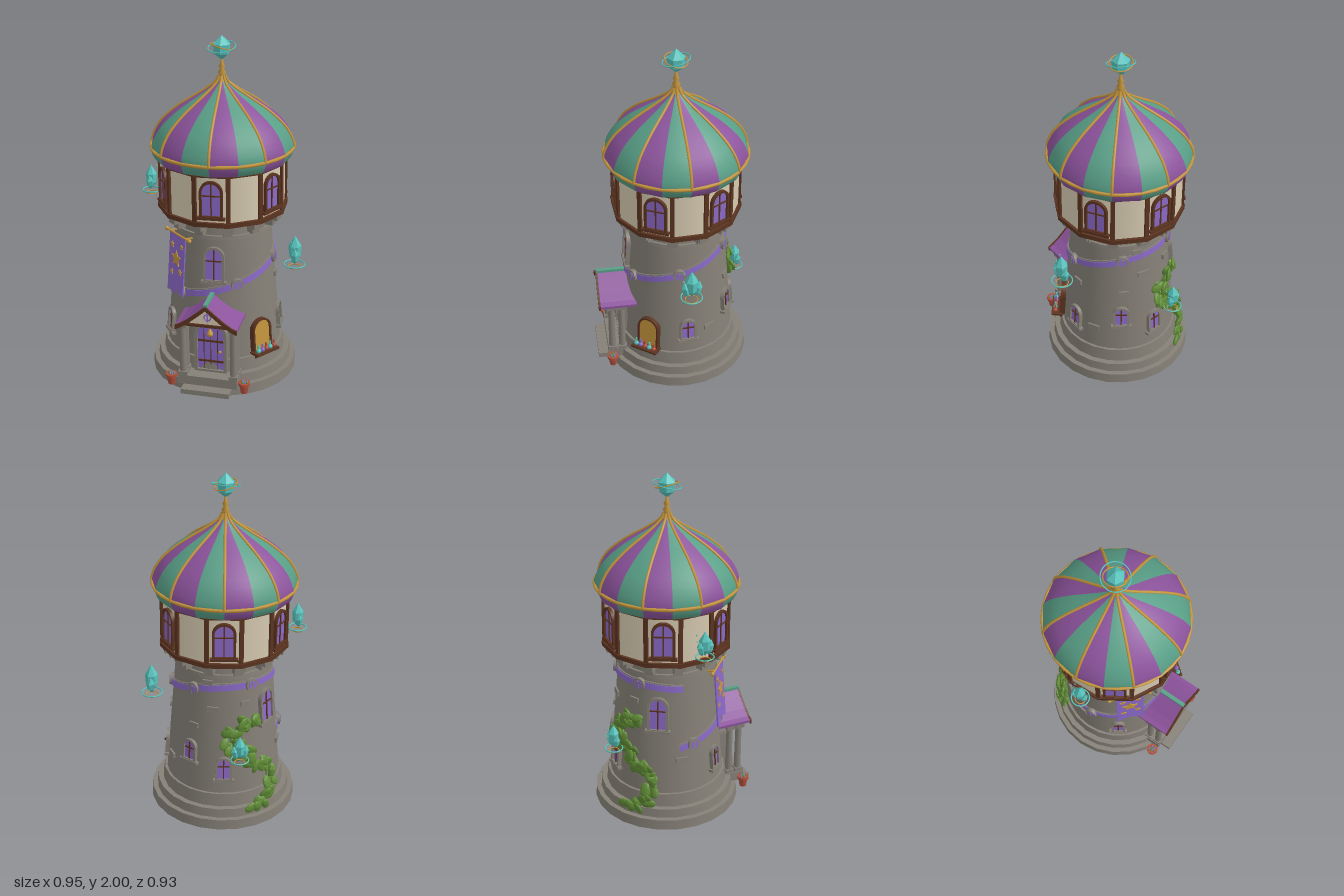
import * as THREE from 'three';
import { ParametricGeometry } from 'three/addons/geometries/ParametricGeometry.js';

const mat = (name, color) => Object.assign(new THREE.MeshStandardMaterial({ color }), { name });
const V2 = (x, y) => new THREE.Vector2(x, y);
const V3 = (x, y, z) => new THREE.Vector3(x, y, z);
const RAD = Math.PI / 180;
const wallR = y => 0.335 - 0.08 * (y - 0.19);

export function createModel() {
  const M = {
    stone: mat('stone', 0x858077), cream: mat('cream plaster', 0xd8ccb2), wood: mat('dark wood', 0x5c3420),
    gold: mat('gold', 0xc4953c), violet: mat('lavender', 0x8a69c8), purple: mat('roof purple', 0x8c539c),
    green: mat('roof green', 0x589e86), teal: mat('crystal teal', 0x58c4bd), leaf: mat('leaf green', 0x5f8a35),
    clay: mat('terracotta', 0xb04f3c),
  };
  const model = new THREE.Group();
  model.name = 'tower';
  const tower = new THREE.Group();
  tower.name = 'towerBody';
  tower.position.z = -0.03;
  tower.rotation.z = 0.009;
  model.add(tower);

  let seed = 7;
  const rnd = () => (seed = (seed * 16807) % 2147483647) / 2147483647;
  const add = (parent, name, geo, m, x = 0, y = 0, z = 0) => {
    const mesh = new THREE.Mesh(geo, m);
    mesh.name = name;
    mesh.position.set(x, y, z);
    parent.add(mesh);
    return mesh;
  };
  const box = (p, n, m, w, h, d, x, y, z) => add(p, n, new THREE.BoxGeometry(w, h, d), m, x, y, z);
  const cyl = (p, n, m, rt, rb, h, x, y, z, s = 24, open = false) =>
    add(p, n, new THREE.CylinderGeometry(rt, rb, h, s, 1, open), m, x, y, z);
  const ball = (p, n, m, r, x, y, z) => add(p, n, new THREE.SphereGeometry(r, 10, 8), m, x, y, z);
  const ring = (p, n, m, r, t, x, y, z, tiltX = 0, tiltZ = 0) => {
    const o = add(p, n, new THREE.TorusGeometry(r, t, 6, 32), m, x, y, z);
    o.rotation.set(Math.PI / 2 + tiltX, tiltZ, 0);
    return o;
  };
  const flat = g => { g = g.index ? g.toNonIndexed() : g; g.computeVertexNormals(); return g; };
  const extrude = (shape, depth) => new THREE.ExtrudeGeometry(shape, { depth, bevelEnabled: false, curveSegments: 10 });
  // Group standing on the wall at an angle from the front, facing outward
  const onWall = (name, deg, y, r = wallR(y), lean = -0.08, parent = tower) => {
    const g = new THREE.Group();
    g.name = name;
    g.rotation.order = 'YXZ';
    g.rotation.set(lean, deg * RAD, 0);
    g.position.set(Math.sin(deg * RAD) * r, y, Math.cos(deg * RAD) * r);
    parent.add(g);
    return g;
  };
  const arch = (w, h, y0 = 0, C = THREE.Shape) => {
    const s = new C();
    s.moveTo(-w / 2, y0); s.lineTo(w / 2, y0); s.lineTo(w / 2, h - w / 2);
    s.absarc(0, h - w / 2, w / 2, 0, Math.PI, false);
    s.closePath();
    return s;
  };
  const archFrame = (w, h, t) => {
    const s = arch(w, h);
    s.holes.push(arch(w - 2 * t, h - t, t, THREE.Path));
    return s;
  };
  const windowOn = (g, w, h, frame) => {
    add(g, 'windowFrame', extrude(archFrame(w, h, 0.014), 0.03), frame, 0, 0, -0.012);
    add(g, 'windowPane', extrude(arch(w - 0.02, h - 0.01, 0.01), 0.016), M.violet, 0, 0, -0.01);
    box(g, 'mullion', M.wood, 0.007, h - 0.02, 0.008, 0, h / 2, 0.008);
    box(g, 'transom', M.wood, w - 0.02, 0.007, 0.008, 0, h * 0.6, 0.008);
    box(g, 'sill', frame, w + 0.025, 0.016, 0.04, 0, 0, 0.002);
  };

  // Stepped base, wall and stone rings
  cyl(tower, 'baseStep', M.stone, 0.425, 0.43, 0.06, 0, 0.03, 0);
  cyl(tower, 'baseStep', M.stone, 0.39, 0.397, 0.055, 0, 0.085, 0);
  cyl(tower, 'plinth', M.stone, 0.35, 0.36, 0.08, 0, 0.15, 0);
  cyl(tower, 'wall', M.stone, wallR(1.03), wallR(0.15), 0.88, 0, 0.59, 0, 32, true);
  cyl(tower, 'wallRing', M.stone, 0.289, 0.292, 0.022, 0, 0.925, 0, 32);
  // Scattered raised stones
  [[94, 0.605], [118, 0.33], [150, 0.6], [172, 0.72], [208, 0.75], [262, 0.4], [165, 0.88]].forEach(([a, y], i) =>
    box(onWall('raisedStone', a, y), 'stoneBlock', M.stone, 0.058 + 0.01 * (i % 2), 0.03, 0.02, 0, 0, 0));

  // Wall windows
  [[3, 0.66, 0.12, 0.21], [237, 0.585, 0.12, 0.21], [305, 0.265, 0.085, 0.15], [94, 0.275, 0.1, 0.145],
    [147, 0.365, 0.095, 0.14], [184, 0.275, 0.095, 0.15]].forEach(([a, y, w, h]) =>
    windowOn(onWall('wallWindow', a, y), w, h, M.stone));

  // Lit alcove with a shelf of bottles
  const alcove = onWall('alcove', 53, 0.205, wallR(0.205) + 0.01);
  add(alcove, 'alcoveFrame', extrude(archFrame(0.135, 0.205, 0.011), 0.036), M.wood, 0, 0, -0.02);
  add(alcove, 'alcoveBack', extrude(arch(0.12, 0.198, 0.005), 0.026), M.gold, 0, 0, -0.02);
  box(alcove, 'shelf', M.wood, 0.165, 0.012, 0.07, 0, 0.008, 0.028);
  for (const s of [-1, 1]) box(alcove, 'shelfBracket', M.wood, 0.01, 0.05, 0.012, 0.05 * s, -0.012, 0.016).rotation.x = 0.7;
  [M.teal, M.violet, M.clay, M.teal, M.clay].forEach((m, i) => {
    const x = -0.058 + i * 0.029;
    ball(alcove, 'bottle', m, 0.0145, x, 0.028, 0.042);
    cyl(alcove, 'bottleNeck', m, 0.005, 0.007, 0.028, x, 0.05, 0.042, 8);
  });

  // Sash winding up around the wall, with round clasps
  const path = new THREE.CatmullRomCurve3([[-100, 0.475], [-45, 0.545], [0, 0.6], [45, 0.67], [90, 0.74], [135, 0.81],
    [170, 0.85], [220, 0.86], [265, 0.84]].map(p => V3(p[0] / 100, p[1], 0)));
  const sash = (name, m, half, off) => add(tower, name, new ParametricGeometry((u, v, t) => {
    const p = path.getPoint(u), k = Math.round(v * 3), a = p.x * 100 * RAD;
    const y = p.y + (k < 2 ? -half : half), r = wallR(y) + (k === 0 || k === 3 ? -0.006 : off);
    t.set(Math.sin(a) * r, y, Math.cos(a) * r);
  }, 80, 3), m);
  sash('sashBorder', M.stone, 0.025, 0.007);
  sash('sash', M.violet, 0.018, 0.011);
  [[-85, 0.49], [-37, 0.556], [28, 0.642], [85, 0.732], [148, 0.828], [215, 0.86]].forEach(([a, y]) => {
    const g = onWall('sashClasp', a, y);
    cyl(g, 'claspDisc', M.stone, 0.036, 0.038, 0.03, 0, 0, 0.008, 16).rotation.x = Math.PI / 2;
    cyl(g, 'claspCenter', M.violet, 0.024, 0.024, 0.006, 0, 0, 0.023, 16).rotation.x = Math.PI / 2;
    box(g, 'claspBar', M.stone, 0.008, 0.044, 0.006, 0, 0, 0.026);
  });

  // Hanging banner with stars
  const banner = onWall('banner', -42, 0.9, 0.305);
  cyl(banner, 'bannerRod', M.gold, 0.006, 0.006, 0.23, 0, 0, 0.005, 8).rotation.z = Math.PI / 2;
  for (const s of [-1, 1]) {
    ball(banner, 'rodKnob', M.gold, 0.012, 0.118 * s, 0, 0.005);
    box(banner, 'rodBracket', M.gold, 0.008, 0.008, 0.06, 0.08 * s, 0, -0.025);
  }
  add(banner, 'bannerCloth', extrude(new THREE.Shape([V2(-0.08, 0), V2(-0.08, -0.36), V2(0, -0.325),
    V2(0.08, -0.36), V2(0.08, 0)]), 0.008), M.violet);
  [[0, -0.145, 0.05], [-0.045, -0.07, 0.019], [0.05, -0.06, 0.017], [0.045, -0.215, 0.019], [-0.04, -0.235, 0.017]]
    .forEach(([x, y, r]) => add(banner, 'star', extrude(new THREE.Shape(Array.from({ length: 10 }, (_, i) => {
      const q = i % 2 ? r * 0.48 : r, a = Math.PI / 2 + i * Math.PI / 5;
      return V2(q * Math.cos(a), q * Math.sin(a));
    })), 0.006), M.gold, x, y, 0.007));

  // Entrance: steps, door, columns and gabled porch
  const porch = new THREE.Group();
  porch.name = 'porch';
  porch.position.x = 0.01;
  tower.add(porch);
  box(porch, 'lowerStep', M.stone, 0.28, 0.03, 0.12, -0.008, 0.045, 0.435);
  box(porch, 'porchFloor', M.stone, 0.35, 0.055, 0.14, -0.008, 0.0875, 0.365);
  const door = new THREE.Group();
  door.name = 'door';
  door.position.set(-0.004, 0.11, 0.325);
  porch.add(door);
  add(door, 'doorFrame', extrude(archFrame(0.19, 0.335, 0.018), 0.055), M.stone, 0, 0, -0.015);
  add(door, 'doorLeaf', extrude(arch(0.16, 0.32), 0.04), M.violet, 0, 0, -0.015);
  for (const x of [-0.04, 0, 0.04]) box(door, 'doorGroove', M.wood, 0.004, 0.27, 0.004, x, 0.14, 0.026);
  for (const y of [0.07, 0.2]) box(door, 'doorStrap', M.wood, 0.15, 0.012, 0.006, 0, y, 0.027);
  ball(door, 'doorLantern', M.gold, 0.018, 0, 0.252, 0.04);
  cyl(door, 'lanternCap', M.gold, 0.003, 0.014, 0.02, 0, 0.276, 0.04, 8);
  ball(door, 'doorKnob', M.gold, 0.009, 0.055, 0.135, 0.03);
  for (const s of [-1, 1]) for (const z of [0.41, 0.35]) {
    const x = 0.148 * s - 0.004;
    cyl(porch, 'column', M.stone, 0.018, 0.021, 0.33, x, 0.28, z, 14);
    box(porch, 'columnBase', M.stone, 0.052, 0.025, 0.052, x, 0.125, z);
    box(porch, 'columnCapital', M.stone, 0.052, 0.025, 0.052, x, 0.432, z);
  }
  const slope = [[0, 0.592], [0.05, 0.548], [0.105, 0.502], [0.15, 0.472], [0.178, 0.46]];
  const gable = t => {
    const top = [...slope.slice(1).reverse().map(([x, y]) => V2(-x, y)), ...slope.map(([x, y]) => V2(x, y))];
    return new THREE.Shape([...top.map(p => V2(p.x, p.y - t)), ...top.reverse()]);
  };
  add(porch, 'porchRoof', extrude(gable(0.016), 0.215), M.purple, 0, 0, 0.26);
  add(porch, 'bargeboard', extrude(gable(0.026), 0.012), M.wood, 0, 0.001, 0.472);
  box(porch, 'ridgeCap', M.green, 0.024, 0.016, 0.21, 0, 0.594, 0.375);
  add(porch, 'gablePanel', extrude(new THREE.Shape([V2(-0.15, 0.445), V2(0.15, 0.445), V2(0, 0.572)]), 0.15), M.cream, 0, 0, 0.28);
  box(porch, 'tieBeam', M.wood, 0.33, 0.016, 0.17, 0, 0.449, 0.355);
  add(porch, 'gableRing', new THREE.TorusGeometry(0.019, 0.004, 6, 20), M.violet, 0, 0.502, 0.433);
  box(porch, 'gableBar', M.violet, 0.006, 0.058, 0.006, 0, 0.502, 0.433);

  // Flower pots
  for (const s of [-1, 1]) {
    const pot = new THREE.Group();
    pot.name = 'flowerPot';
    pot.position.set(0.215 * s, 0.04, 0.385);
    model.add(pot);
    cyl(pot, 'potBody', M.clay, 0.028, 0.02, 0.05, 0, 0.025, 0, 14);
    cyl(pot, 'potRim', M.clay, 0.034, 0.034, 0.016, 0, 0.058, 0, 14);
    for (let i = 0; i < 9; i++) ball(pot, 'flower', i % 2 ? M.violet : M.leaf, 0.007,
      Math.cos(i * 2.4) * 0.007 * Math.sqrt(i), 0.068, Math.sin(i * 2.4) * 0.007 * Math.sqrt(i));
  }

  // Upper storey: corbels, plaster walls, timber frame and windows
  const upper = new THREE.Group();
  upper.name = 'upperStorey';
  upper.rotation.y = 0.055;
  tower.add(upper);
  const dodec = (n, m, r, h, y) => { cyl(upper, n, m, r, r, h, 0, y, 0, 12).rotation.y = Math.PI / 12; };
  dodec('plaster', M.cream, 0.358, 0.3, 1.17);
  dodec('floorBeam', M.wood, 0.374, 0.026, 1.03);
  dodec('topBeam', M.wood, 0.366, 0.026, 1.315);
  for (let i = 0; i < 12; i++) {
    const c = onWall('corbel', 15 + 30 * i, 0.985, 0.28, 0, upper);
    box(c, 'corbelUpper', M.stone, 0.06, 0.04, 0.12, 0, 0.014, 0.01);
    box(c, 'corbelLower', M.stone, 0.05, 0.04, 0.06, 0, -0.02, 0.01);
    box(onWall('post', 15 + 30 * i, 1.17, 0.357, 0, upper), 'postBeam', M.wood, 0.024, 0.28, 0.022, 0, 0, 0);
    if (i % 2 === 0) windowOn(onWall('upperWindow', 30 * i, 1.07, 0.346, 0, upper), 0.13, 0.215, M.wood);
  }

  // Striped bulbous roof with soffit, ribs and trim
  const profile = [[0.383, 1.318], [0.398, 1.345], [0.406, 1.38], [0.393, 1.43], [0.348, 1.505], [0.26, 1.585],
    [0.186, 1.635], [0.114, 1.68], [0.06, 1.718], [0.03, 1.745], [0.016, 1.775]];
  const curve = new THREE.CatmullRomCurve3(profile.map(([x, y]) => V3(0, y, x)));
  const roofPts = curve.getPoints(24).map(p => V2(p.z, p.y));
  for (let i = 0; i < 16; i++)
    add(upper, 'roofStripe', new THREE.LatheGeometry(roofPts, 1, i * Math.PI / 8, Math.PI / 8), i % 2 ? M.green : M.purple);
  cyl(upper, 'soffit', M.wood, 0.382, 0.382, 0.008, 0, 1.323, 0, 16);
  const ribPath = new THREE.CatmullRomCurve3(profile.slice(2).map(([x, y]) => V3(0, y + 0.002, x + 0.002)));
  const ribGeo = new THREE.TubeGeometry(ribPath, 24, 0.008, 6);
  for (let i = 0; i < 8; i++) add(upper, 'roofRib', ribGeo, M.gold).rotation.y = i * Math.PI / 4;
  ring(upper, 'roofTrim', M.gold, 0.403, 0.01, 0, 1.38, 0);
  add(upper, 'finial', new THREE.LatheGeometry([[0.03, 1.745], [0.022, 1.762], [0.015, 1.778], [0.023, 1.795], [0.011, 1.812],
    [0.018, 1.828], [0.009, 1.845], [0.007, 1.87], [0, 1.875]].map(p => V2(...p)), 12), M.gold);

  // Crystals: a faceted gem on the finial and three floating clusters
  const gem = (p, r, h, x, y, z, sides = 6) => add(p, 'crystal', flat(new THREE.LatheGeometry(
    [V2(0, 0), V2(r * 0.9, h * 0.27), V2(r, h * 0.64), V2(0, h)], sides)), M.teal, x, y, z);
  gem(upper, 0.05, 0.138, 0, 1.863, 0);
  ring(upper, 'outerOrbit', M.teal, 0.077, 0.0035, 0, 1.935, 0, 0.22, 0.08);
  ring(upper, 'innerOrbit', M.gold, 0.064, 0.0035, 0, 1.935, 0, -0.15, -0.25);
  [[-0.424, 1.09, 0.012, 0.032, 0.145, 0.05], [0.412, 0.675, -0.055, 0.038, 0.175, 0.06], [-0.12, 0.455, -0.41, 0.032, 0.145, 0.05]]
    .forEach(([x, y, z, r, h, R]) => {
      const g = new THREE.Group();
      g.name = 'floatingCrystal';
      g.position.set(x, y, z);
      g.rotation.y = Math.atan2(x, z + 0.03);
      model.add(g);
      gem(g, r, h, 0, 0, 0);
      for (const s of [-1, 1]) gem(g, r * 0.65, h * 0.62, s * r * 0.6, 0.004, 0.004, 5).rotation.z = -s * 0.2;
      ring(g, 'crystalRing', M.teal, R, 0.004, 0, -0.006, 0);
      ring(g, 'crystalRing', M.gold, R * 0.6, 0.003, 0, -0.022, 0);
      for (let i = 0; i < 3; i++) add(g, 'shard', new THREE.OctahedronGeometry(0.006), M.teal,
        -0.04 - 0.008 * (i % 2), h * (0.45 + 0.2 * i), -0.02 * i + 0.02);
    });

  // Climbing vine on the back
  const vine = new THREE.CatmullRomCurve3([[209, 0.1], [220, 0.12], [229, 0.19], [231, 0.28], [219, 0.36], [210, 0.42],
    [196, 0.49], [192, 0.56], [204, 0.62], [217, 0.65]].map(([a, y]) =>
    V3(Math.sin(a * RAD) * (wallR(y) + 0.01), y, Math.cos(a * RAD) * (wallR(y) + 0.01))));
  add(tower, 'vineStem', new THREE.TubeGeometry(vine, 50, 0.006, 5), M.leaf);
  const leafGeo = flat(new THREE.IcosahedronGeometry(0.042, 1));
  for (let i = 0; i < 60; i++) {
    const p = vine.getPoint(i / 59);
    const r = Math.hypot(p.x, p.z) + (p.y < 0.2 ? 0.025 : 0.008) + rnd() * 0.025;
    const g = onWall('vineLeaf', Math.atan2(p.x, p.z) / RAD + (rnd() - 0.5) * 15, p.y + (rnd() - 0.5) * 0.06, r);
    const l = add(g, 'leaf', leafGeo, M.leaf);
    l.scale.set(0.65, 1, 0.3).multiplyScalar(0.75 + rnd() * 0.4);
    l.rotation.set(rnd() * 0.8 - 0.4, rnd() - 0.5, rnd() * 3);
  }
  return model;
}
